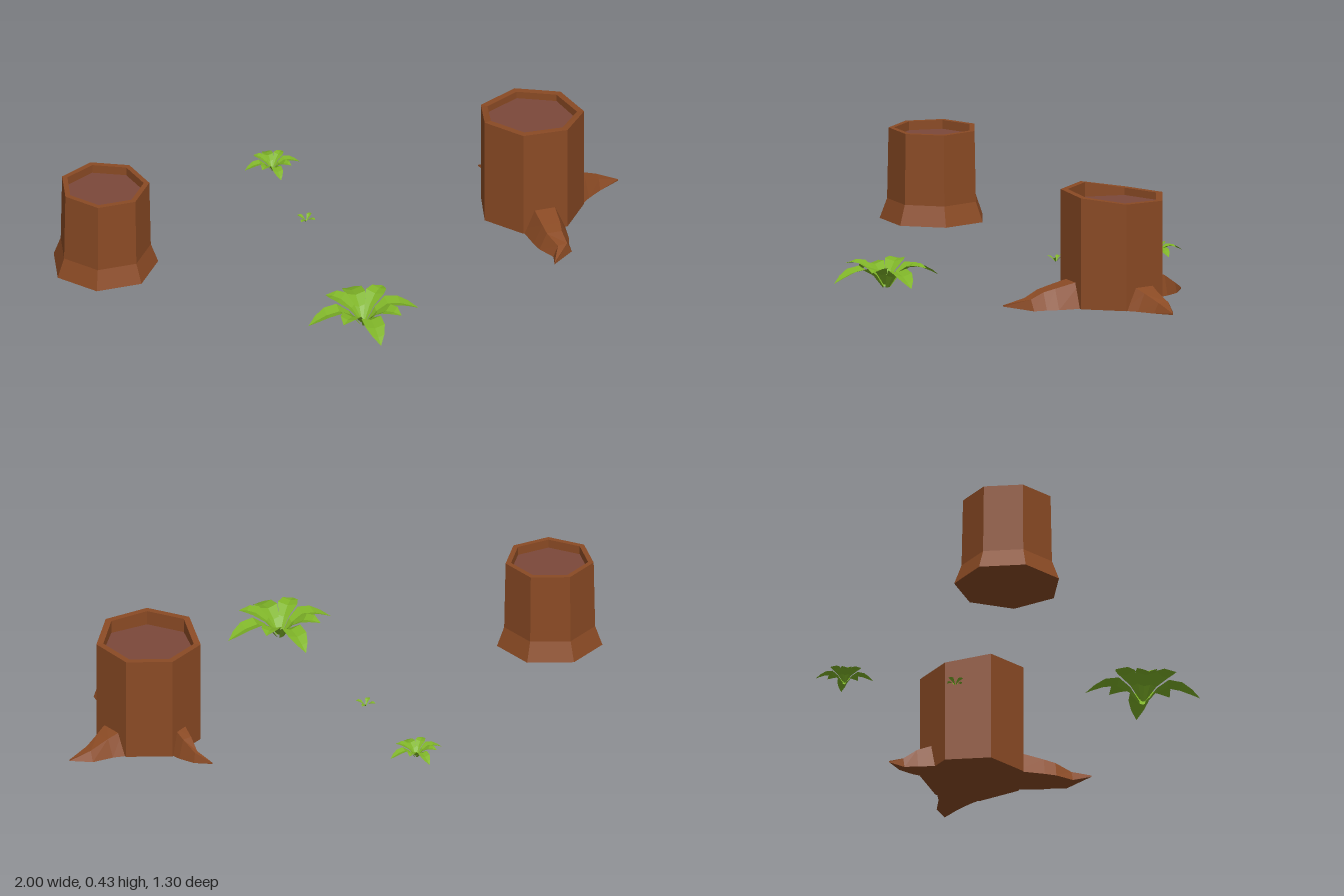
import * as THREE from 'three';

const mat = (name, color, extra = {}) => {
  const m = new THREE.MeshStandardMaterial({ color, ...extra });
  m.name = name;
  return m;
};

// Joins successive closed rings of points with flat-shaded faces
function loft(rings, closed = true) {
  const pos = [];
  const tri = (...pts) => pts.forEach((p) => pos.push(...p));
  for (let i = 0; i < rings.length - 1; i++) {
    const a = rings[i], b = rings[i + 1], n = a.length;
    for (let k = 0; k < (closed ? n : n - 1); k++) {
      const j = (k + 1) % n;
      tri(a[k], b[k], b[j]);
      tri(a[k], b[j], a[j]);
    }
  }
  const g = new THREE.BufferGeometry();
  g.setAttribute('position', new THREE.Float32BufferAttribute(pos, 3));
  g.computeVertexNormals();
  return g;
}

// Seven-sided horizontal ring; y may be one height or one per corner
function ring(cx, cz, r, y) {
  return Array.from({ length: 7 }, (_, k) => {
    const a = (k / 7) * Math.PI * 2;
    return [cx + Math.sin(a) * r, Array.isArray(y) ? y[k] : y, cz - Math.cos(a) * r];
  });
}

export function createModel() {
  const bark = mat('bark brown', 0x8a4a24);
  const wood = mat('cut wood', 0x7c483a);
  const leaf = mat('leaf green', 0x7fb428, { side: THREE.DoubleSide });
  const model = new THREE.Group();
  model.name = 'stumpsAndFerns';

  const add = (parent, name, geometry, material) => {
    const m = new THREE.Mesh(geometry, material);
    m.name = name;
    parent.add(m);
  };
  const group = (name) => {
    const g = new THREE.Group();
    g.name = name;
    model.add(g);
    return g;
  };

  // Trunk shell with a hollow rim, plus the sunken cut face
  function stump(name, cx, cz, profile, rimR, woodY) {
    const g = group(name);
    const rings = profile.map(([r, y]) => ring(cx, cz, r, y));
    const floor = ring(cx, cz, rimR, woodY);
    const topY = profile[profile.length - 1][1];
    add(g, 'trunk', loft([...rings, ring(cx, cz, rimR, topY), floor]), bark);
    add(g, 'cutFace', loft([floor, ring(cx, cz, 0, woodY)]), wood);
    return g;
  }

  // Flared stump
  stump('flaredStump', -0.823, -0.085,
    [[0, 0.062], [0.182, 0.062], [0.157, 0.13], [0.152, 0.372]], 0.133, 0.342);

  // Rooted stump with an uneven top
  const rooted = stump('rootedStump', 0.667, -0.035,
    [[0, 0.04], [0.18, 0.04], [0.18, [0.4, 0.4, 0.405, 0.42, 0.425, 0.425, 0.4]]], 0.156, 0.375);

  // Roots: each section is right x, z, left x, z, top height, seen facing outward
  const roots = {
    frontRoot: [[0.59, 0.1, 0.74, 0.1, 0.13], [0.602, 0.2, 0.727, 0.2, 0.108],
      [0.61, 0.24, 0.715, 0.24, 0.098], [0.64, 0.3, 0.71, 0.285, 0.078], [0.625, 0.36, 0.625, 0.36, 0.053]],
    sideRoot: [[0.83, 0.01, 0.79, -0.145, 0.12], [0.87, -0.025, 0.85, -0.132, 0.1],
      [0.92, -0.06, 0.925, -0.13, 0.075], [0.995, -0.095, 0.995, -0.095, 0.05]],
    backRoot: [[0.67, -0.19, 0.58, -0.16, 0.13], [0.655, -0.24, 0.59, -0.23, 0.108],
      [0.625, -0.29, 0.6, -0.275, 0.075], [0.575, -0.33, 0.575, -0.33, 0.048]],
  };
  for (const [name, sections] of Object.entries(roots)) {
    const rings = sections.map(([rx, rz, lx, lz, h], i) => {
      const at = (t, y) => [rx + (lx - rx) * t, y, rz + (lz - rz) * t];
      const low = i === sections.length - 1 ? h - 0.005 : 0.04;
      return [at(0, low), at(0.25, h), at(0.75, h), at(1, low)];
    });
    add(rooted, name, loft(rings), bark);
  }

  // Leaf folded along its midrib: stations are distance out, height, half width
  const leafGeometry = (stations, fold) => loft(stations.map(([r, y, w]) => [
    [-w, y + w * fold, r], [0, y, r], [w, y + w * fold, r],
  ]), false);
  const longLeaf = leafGeometry([[0.012, 0, 0.008], [0.045, 0.042, 0.02],
    [0.085, 0.065, 0.034], [0.13, 0.058, 0.034], [0.165, 0.043, 0.021], [0.195, 0.027, 0]], 0.3);
  const shortLeaf = leafGeometry([[0.01, 0.01, 0.006], [0.045, 0.05, 0.018],
    [0.085, 0.074, 0.034], [0.115, 0.078, 0.027], [0.145, 0.073, 0]], 0.25);

  function fern(name, z, y, scale, withLong) {
    const g = group(name);
    g.position.set(-0.08, y, z);
    g.scale.setScalar(scale);
    for (let i = 0; i < 4; i++) {
      const a = (i * Math.PI) / 2;
      if (withLong) {
        add(g, 'longLeaf', longLeaf, leaf);
        g.children[g.children.length - 1].rotation.y = a;
      }
      add(g, 'shortLeaf', shortLeaf, leaf);
      g.children[g.children.length - 1].rotation.y = a + Math.PI / 4;
    }
  }
  fern('largeFern', 0.455, 0, 1, true);
  fern('smallFern', -0.555, 0.02, 0.5, true);
  fern('sprout', -0.18, 0.032, 0.24, false);

  return model;
}
